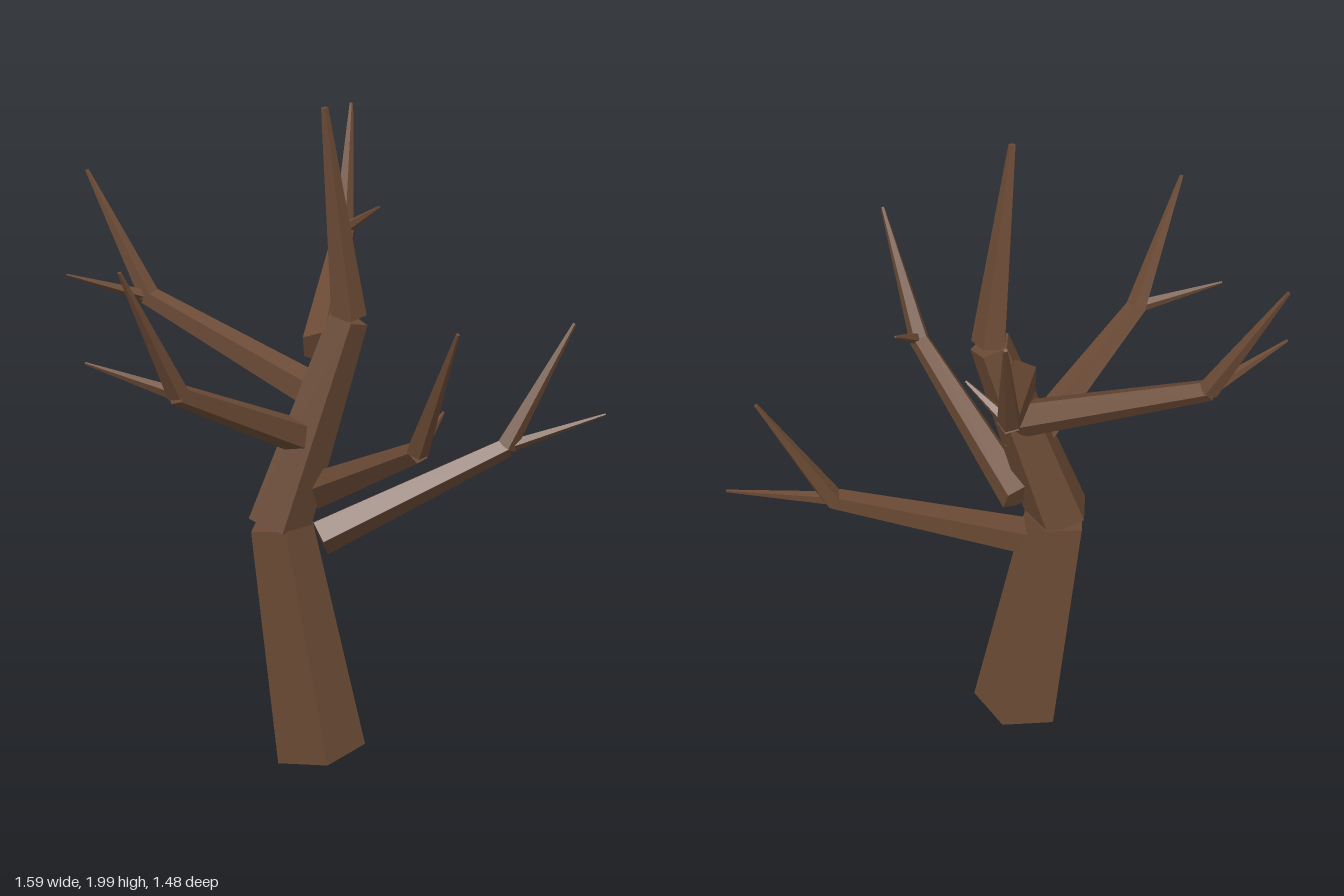
import * as THREE from 'three';

export function createModel() {
  const bark = new THREE.MeshStandardMaterial({ color: 0x6b4a35, flatShading: true });
  bark.name = 'brown bark';
  const up = new THREE.Vector3(0, 1, 0);

  // Five-sided tapered limb running from one point to another
  function limb(name, from, to, r0, r1) {
    const a = new THREE.Vector3(...from);
    const dir = new THREE.Vector3(...to).sub(a);
    const length = dir.length();
    const geo = new THREE.CylinderGeometry(r1, r0, length, 5);
    geo.translate(0, length / 2, 0);
    const mesh = new THREE.Mesh(geo, bark);
    mesh.name = name;
    mesh.position.copy(a);
    mesh.quaternion.setFromUnitVectors(up, dir.normalize());
    return mesh;
  }

  const tree = new THREE.Group();
  tree.name = 'bareTree';

  // Crooked trunk in three pieces
  tree.add(
    limb('lowerTrunk', [-0.087, 0.03, 0], [-0.203, 0.755, 0], 0.143, 0.098),
    limb('upperTrunk', [-0.212, 0.757, 0.004], [-0.01, 1.38, 0.052], 0.1, 0.063),
    limb('topSpike', [-0.008, 1.385, 0.055], [-0.085, 2.0, 0.103], 0.055, 0.011)
  );

  // Five branches spiralling up around the trunk
  const reach = 0.573;
  const rise = 0.25;
  for (let i = 0; i < 5; i++) {
    const angle = (i * Math.PI * 2) / 5;
    const c = Math.cos(angle);
    const s = Math.sin(angle);
    const y = 0.705 + i * 0.145;

    const branch = new THREE.Group();
    branch.name = 'branch' + (i + 1);
    branch.position.set(-0.083, y, 0);
    branch.rotation.y = -angle;
    branch.add(
      limb('bough', [0, 0, 0], [reach, rise, 0], 0.058, 0.032),
      limb('tallTwig', [reach - 0.005, rise, 0], [0.775, 0.62, 0], 0.033, 0.006)
    );
    tree.add(branch);

    // Side twig at the bough's end
    const end = [-0.083 + reach * c, y + rise, reach * s];
    const tip = [end[0] + 0.305 * c, end[1] + 0.085, end[2] - 0.105 * s];
    tree.add(limb('sideTwig' + (i + 1), end, tip, 0.021, 0.004));
  }
  return tree;
}
